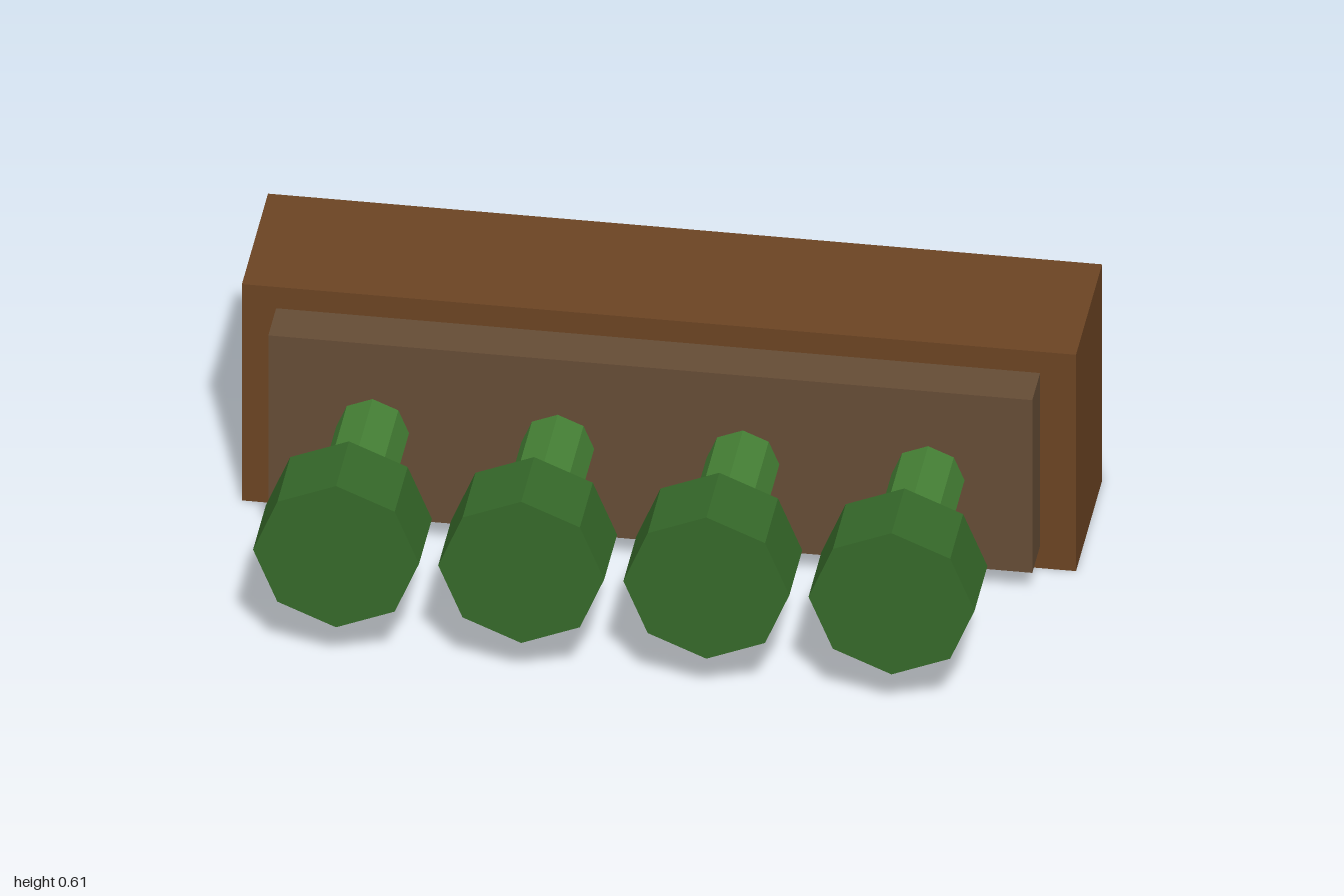
import * as THREE from 'three';

const material = (color) => new THREE.MeshStandardMaterial({ color, flatShading: true });

export function createModel() {
  const model = new THREE.Group();
  model.name = 'pegRack';
  const brown = material(0x6b4423);
  const taupe = material(0x654c35);
  const darkGreen = material(0x356829);
  const lightGreen = material(0x458035);

  const add = (name, geometry, mat, x, y, z) => {
    const mesh = new THREE.Mesh(geometry, mat);
    mesh.name = name;
    mesh.position.set(x, y, z);
    model.add(mesh);
  };

  // Backing block and the raised plate on its front
  add('backBlock', new THREE.BoxGeometry(2, 0.61, 0.4), brown, 0, 0.305, -0.34);
  add('frontPlate', new THREE.BoxGeometry(1.832, 0.487, 0.12), taupe, -0.002, 0.3065, -0.08);

  // Octagonal prism lying along z, one corner pointing up
  const octagon = (radius, length) =>
    new THREE.CylinderGeometry(radius, radius, length, 8).rotateX(Math.PI / 2);
  const stem = octagon(0.0875, 0.36);
  const head = octagon(0.199, 0.198);

  // Four pegs: a thin stem with a wide head
  for (let i = 0; i < 4; i++) {
    const x = -0.002 + (i - 1.5) * 0.444;
    add(`pegStem${i + 1}`, stem, lightGreen, x, 0.308, 0.16);
    add(`pegHead${i + 1}`, head, darkGreen, x, 0.308, 0.441);
  }
  return model;
}
